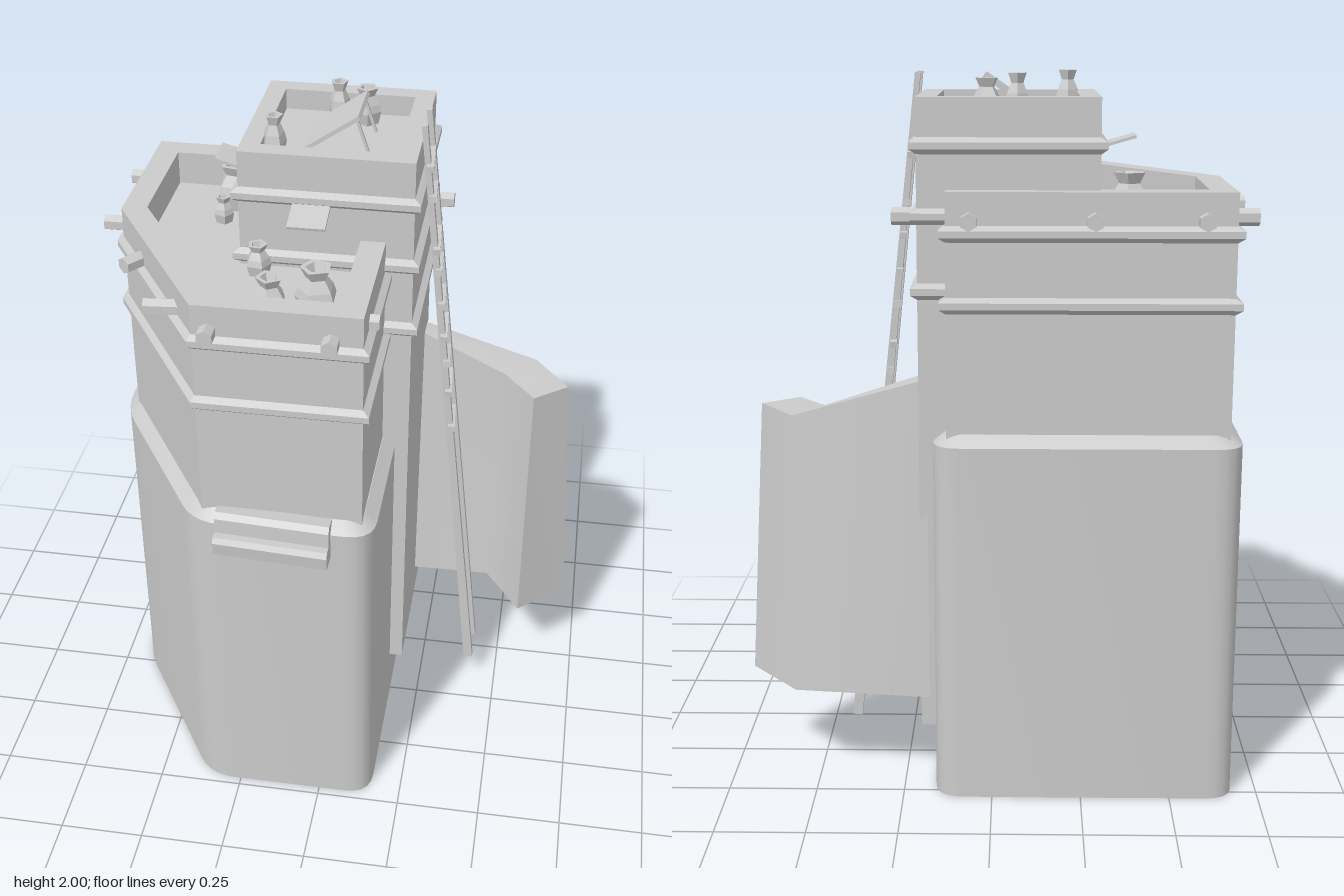
import * as THREE from 'three';
import { toCreasedNormals } from 'three/addons/utils/BufferGeometryUtils.js';

const smooth = new THREE.MeshStandardMaterial({ color: 0xcccccc, side: THREE.DoubleSide });
const flat = new THREE.MeshStandardMaterial({ color: 0xcccccc, flatShading: true, side: THREE.DoubleSide });

// Footprints as [x, z] corners, clockwise seen from above
const HOUSE = [[-0.68, -0.54], [0.16, -0.54], [0.16, 0.475], [-0.35, 0.475], [-0.68, -0.04]];
const TOWER = [[-0.29, -0.46], [0.205, -0.46], [0.205, 0.035], [-0.29, 0.035]];

// Moves every edge of a footprint inwards by d and rounds its corners by r
function ring(poly, d, y, r = 0) {
  const n = poly.length;
  const pts = poly.map((p, i) => {
    const a = poly[(i + n - 1) % n], b = poly[(i + 1) % n];
    const u = new THREE.Vector2(p[0] - a[0], p[1] - a[1]).normalize();
    const v = new THREE.Vector2(b[0] - p[0], b[1] - p[1]).normalize();
    const k = d / (1 + u.dot(v));
    return new THREE.Vector3(p[0] - (u.y + v.y) * k, y, p[1] + (u.x + v.x) * k);
  });
  if (!r) return pts;
  return pts.flatMap((p, i) => {
    const towards = (q) => p.clone().addScaledVector(q.clone().sub(p).normalize(), r);
    const curve = new THREE.QuadraticBezierCurve3(towards(pts[(i + n - 1) % n]), p, towards(pts[(i + 1) % n]));
    return curve.getPoints(5);
  });
}

// Skins a stack of rings and closes the last one (and the first if asked)
function loft(rings, crease, closeBottom = false) {
  const n = rings[0].length, idx = [];
  for (let k = 0; k < rings.length - 1; k++) {
    for (let i = 0; i < n; i++) {
      const j = (i + 1) % n, a = k * n + i, b = k * n + j;
      idx.push(a, a + n, b + n, a, b + n, b);
    }
  }
  const cap = (k, up) => {
    const flatRing = rings[k].map((p) => new THREE.Vector2(p.x, -p.z));
    for (const [a, b, c] of THREE.ShapeUtils.triangulateShape(flatRing, [])) {
      const A = flatRing[a], B = flatRing[b], C = flatRing[c];
      const ccw = B.clone().sub(A).cross(C.clone().sub(A)) > 0;
      idx.push(...(ccw === up ? [a, b, c] : [a, c, b]).map((i) => i + k * n));
    }
  };
  cap(rings.length - 1, true);
  if (closeBottom) cap(0, false);
  const g = new THREE.BufferGeometry().setFromPoints(rings.flat());
  g.setIndex(idx);
  return toCreasedNormals(g, crease);
}

// Rings for a wall with raised bands, a parapet and a sunken roof
function wallRings(poly, inset, bottom, bands, top, thick, roof) {
  const out = [ring(poly, inset, bottom)];
  for (const y of bands) {
    for (const [d, h] of [[0, -0.022], [-0.018, -0.008], [-0.018, 0.01], [0, 0.022]]) out.push(ring(poly, inset + d, y + h));
  }
  out.push(ring(poly, inset, top), ring(poly, inset + thick, top), ring(poly, inset + thick, roof));
  return out;
}

export function createModel() {
  const model = new THREE.Group();
  const add = (name, geometry, material = smooth, parent = model) => {
    const m = new THREE.Mesh(geometry, material);
    m.name = name;
    parent.add(m);
    return m;
  };
  const group = (name) => {
    const g = new THREE.Group();
    g.name = name;
    model.add(g);
    return g;
  };
  // Lays a geometry that is long in z between two points
  const between = (name, a, b, make, parent) => {
    const p = new THREE.Vector3(...a), q = new THREE.Vector3(...b);
    const m = add(name, make(p.distanceTo(q)), flat, parent);
    m.position.copy(p).lerp(q, 0.5);
    m.lookAt(q);
    return m;
  };

  // Rounded plinth, open underneath
  add('base', loft([ring(HOUSE, 0, 0, 0.08), ring(HOUSE, 0, 1.02, 0.08), ring(HOUSE, 0.035, 1.05, 0.06)], 0.5));

  // Upper storey and tower
  add('upperStorey', loft(wallRings(HOUSE, 0.037, 1.03, [1.4, 1.59], 1.7, 0.07, 1.6), 0.4));
  add('tower', loft(wallRings(TOWER, 0.005, 0.18, [1.43, 1.63, 1.815], 1.94, 0.055, 1.88), 0.4, true));

  // Battered, bent side wall
  const foot = [[0.175, -0.49], [0.56, -0.445], [0.705, -0.275], [0.56, -0.145], [0.445, -0.31], [0.19, -0.305]];
  const crest = [[0.18, -0.43], [0.55, -0.42], [0.655, -0.28], [0.555, -0.2], [0.46, -0.32], [0.19, -0.36]];
  add('sideWall', loft([
    foot.map(([x, z]) => new THREE.Vector3(x, 0.28, z)),
    crest.map(([x, z]) => new THREE.Vector3(x, x < 0.2 ? 1.185 : 1.08, z)),
  ], 1.0, true));

  // Two-step ledge on the front
  const profile = [[0.43, 1.03], [0.445, 1.055], [0.49, 1.06], [0.505, 1.045], [0.507, 1.0],
    [0.53, 1.0], [0.54, 0.985], [0.535, 0.945], [0.46, 0.94]].map(([z, y]) => new THREE.Vector2(-z, y));
  const ledge = new THREE.ExtrudeGeometry(new THREE.Shape(profile), { depth: 0.325, bevelEnabled: false });
  ledge.rotateY(Math.PI / 2).translate(-0.285, 0, 0);
  const lp = ledge.attributes.position;
  for (let i = 0; i < lp.count; i++) lp.setZ(i, lp.getZ(i) + 0.06 * (lp.getX(i) - 0.04));
  add('frontLedge', ledge, flat);

  // Roof beam ends
  const beams = group('beamEnds');
  const Y = 1.625;
  for (const [x1, z1, x2, z2] of [
    [-0.71, -0.405, -0.6, -0.405], [-0.71, -0.105, -0.6, -0.105],
    [-0.56, -0.54, -0.56, -0.45], [-0.27, -0.54, -0.27, -0.45], [0.06, -0.54, 0.06, -0.45],
    [0.08, -0.4, 0.27, -0.4], [0.08, 0.325, 0.15, 0.325],
    [-0.285, 0.4, -0.285, 0.48], [0.04, 0.4, 0.04, 0.48],
    [-0.48, 0.34, -0.37, 0.33], [-0.59, 0.14, -0.53, 0.06],
  ]) {
    between('beamEnd', [x1, Y, z1], [x2, Y, z2],
      (l) => new THREE.CylinderGeometry(0.024, 0.024, l, 6).rotateX(Math.PI / 2), beams);
  }

  // Five-sided pots: x, floor, z, radius, height
  const pots = group('pots');
  for (const [x, y, z, r, h] of [
    [-0.37, 1.6, -0.315, 0.06, 0.135], [-0.385, 1.6, -0.21, 0.03, 0.08], [-0.225, 1.6, 0.075, 0.038, 0.09],
    [-0.15, 1.6, 0.29, 0.05, 0.115], [-0.03, 1.6, 0.255, 0.06, 0.135],
    [-0.065, 1.88, -0.345, 0.034, 0.118], [0.015, 1.88, -0.345, 0.042, 0.105], [-0.205, 1.88, -0.09, 0.035, 0.118],
  ]) {
    const pts = [[0, 0], [0.8, 0], [1, 0.35], [0.85, 0.55], [0.5, 0.78], [0.75, 1], [0.5, 1], [0.3, 0.78], [0, 0.7]];
    const pot = add('pot', new THREE.LatheGeometry(pts.map(([a, b]) => new THREE.Vector2(a * r, b * h)), 5), flat, pots);
    pot.position.set(x, y, z);
    pot.rotation.y = x * 9;
  }

  // Open roof hatch with two props
  const box = (w, h) => (l) => new THREE.BoxGeometry(w, h, l);
  between('hatch', [-0.13, 1.885, -0.21], [0.025, 1.99, -0.21], box(0.18, 0.012));
  for (const z of [-0.28, -0.135]) between('hatchProp', [0.015, 1.985, z], [0.05, 1.88, z], box(0.008, 0.008));

  // Window flaps on the tower
  between('frontFlap', [-0.08, 1.805, 0.03], [-0.08, 1.778, 0.135], box(0.105, 0.008));
  between('sideFlap', [-0.285, 1.795, -0.2], [-0.39, 1.825, -0.2], box(0.105, 0.008));

  // Leaning ladder
  const ladder = group('ladder');
  for (const z of [-0.095, -0.205]) {
    const rail = between('ladderRail', [0.41, 0.1, z], [0.207, 1.995, z], box(0.022, 0.028), ladder);
    const p = rail.geometry.attributes.position;
    for (let i = 0; i < p.count; i++) if (p.getZ(i) > 0) p.setY(i, p.getY(i) * 0.55);
  }
  [1.03, 1.16, 1.25, 1.35, 1.45, 1.555, 1.635, 1.78, 1.88].forEach((y, i) => {
    const x = 0.41 - (0.203 * (y - 0.1)) / 1.895, tilt = 0.009 * Math.sin(i * 2.4);
    between('ladderRung', [x + 0.008, y - tilt, -0.07], [x - 0.004, y + tilt, -0.238], box(0.02, 0.018), ladder);
  });

  return model;
}
